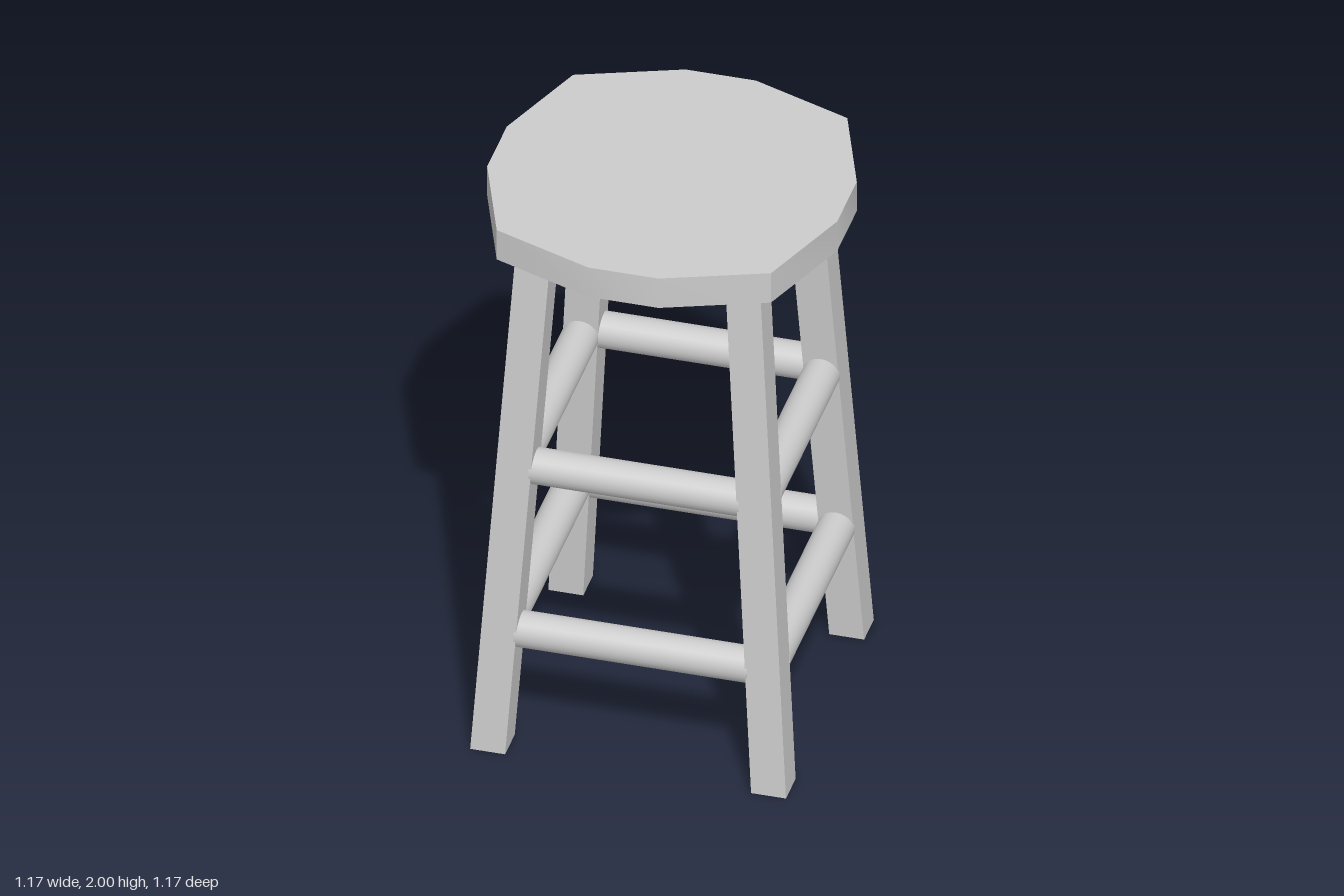
import * as THREE from 'three';
import { toCreasedNormals } from 'three/addons/utils/BufferGeometryUtils.js';

const material = new THREE.MeshStandardMaterial({ color: 0xcccccc });

const SEAT_BOTTOM = 1.885;
const LEG_WIDTH = 0.117;
const FOOT = 0.471; // leg centre at the floor
const LEG_TOP = 0.352; // leg centre under the seat
const legCentre = (y) => FOOT + (LEG_TOP - FOOT) * (y / SEAT_BOTTOM);

function addMesh(parent, geometry, name) {
  const mesh = new THREE.Mesh(geometry, material);
  mesh.name = name;
  parent.add(mesh);
  return mesh;
}

// Twelve-sided slab, smooth except at its four diagonal corners
function seatGeometry() {
  const points = [];
  for (let i = 0; i < 4; i++) {
    for (const [x, y] of [[0.587, -0.118], [0.587, 0.118], [0.46, 0.46]]) {
      points.push(new THREE.Vector2(x, y).rotateAround(new THREE.Vector2(), i * Math.PI / 2));
    }
  }
  const slab = new THREE.ExtrudeGeometry(new THREE.Shape(points), {
    depth: 2 - SEAT_BOTTOM, bevelEnabled: false,
  });
  slab.rotateX(-Math.PI / 2).translate(0, SEAT_BOTTOM, 0);
  return toCreasedNormals(slab, THREE.MathUtils.degToRad(35));
}

// Square post sheared outward so both ends stay level
function legGeometry(sx, sz) {
  const leg = new THREE.BoxGeometry(LEG_WIDTH, SEAT_BOTTOM, LEG_WIDTH);
  leg.translate(0, SEAT_BOTTOM / 2, 0);
  const p = leg.attributes.position;
  for (let i = 0; i < p.count; i++) {
    const c = legCentre(p.getY(i));
    p.setXYZ(i, p.getX(i) + sx * c, p.getY(i), p.getZ(i) + sz * c);
  }
  leg.computeVertexNormals();
  return leg;
}

export function createModel() {
  const stool = new THREE.Group();
  stool.name = 'stool';

  addMesh(stool, seatGeometry(), 'seat');

  for (const [sx, sz, name] of [
    [1, 1, 'frontLeftLeg'], [-1, 1, 'frontRightLeg'],
    [1, -1, 'backLeftLeg'], [-1, -1, 'backRightLeg'],
  ]) {
    addMesh(stool, legGeometry(sx, sz), name);
  }

  // Two square rings of round rungs between the legs
  for (const [level, y, halfLength] of [['lower', 0.442, 0.391], ['upper', 1.062, 0.352]]) {
    const rungGeometry = new THREE.CylinderGeometry(0.0615, 0.0615, halfLength * 2, 24);
    rungGeometry.rotateZ(Math.PI / 2).translate(0, y, legCentre(y));
    ['Front', 'Left', 'Back', 'Right'].forEach((side, i) => {
      addMesh(stool, rungGeometry, `${level}${side}Rung`).rotation.y = i * Math.PI / 2;
    });
  }

  return stool;
}
